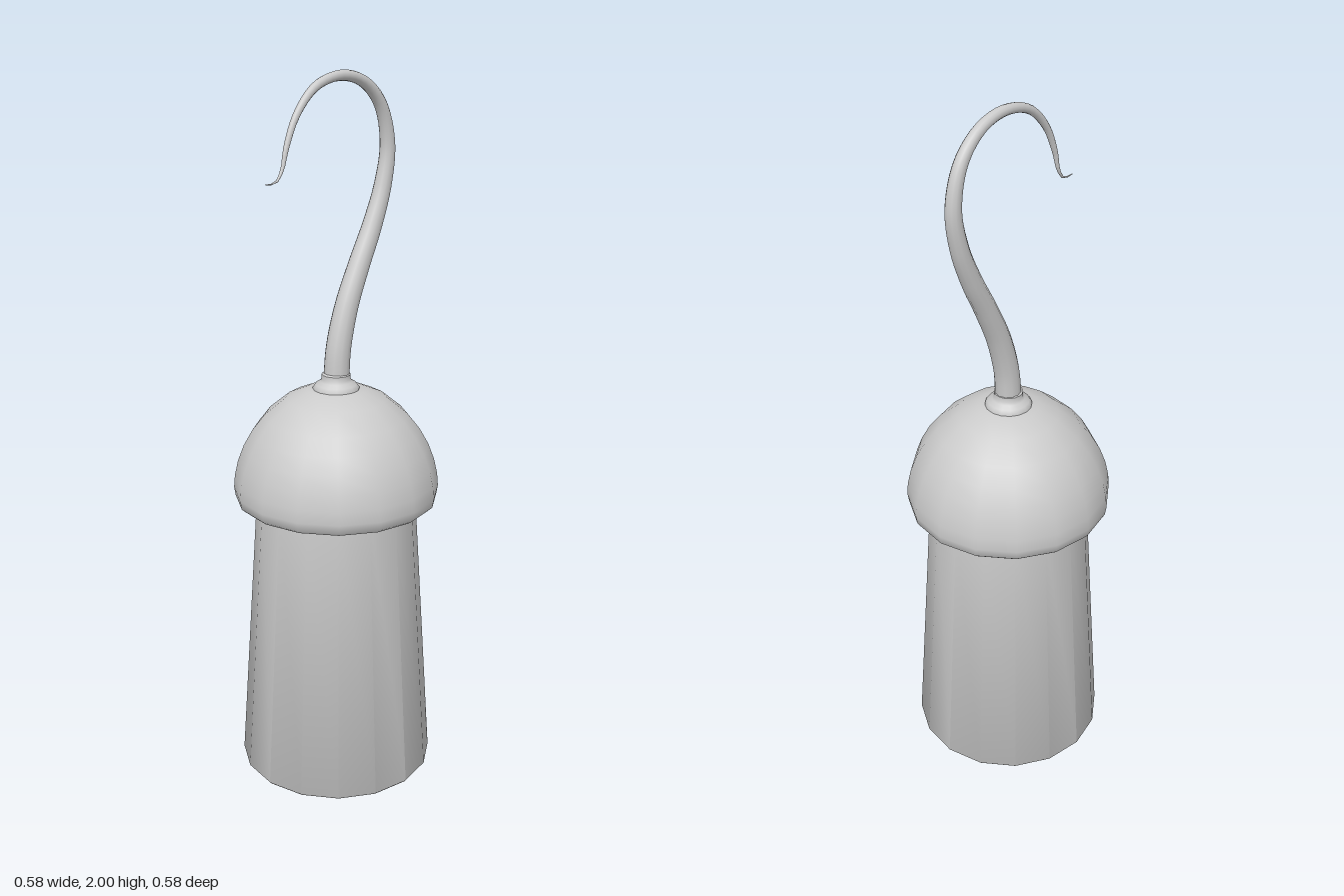
import * as THREE from 'three';
import { toCreasedNormals } from 'three/addons/utils/BufferGeometryUtils.js';

const material = new THREE.MeshStandardMaterial({ color: 0xcccccc });

// Sixteen-sided turned part from [radius, height] pairs
function turned(name, profile) {
  const points = profile.map(([r, y]) => new THREE.Vector2(r, y));
  const mesh = new THREE.Mesh(toCreasedNormals(new THREE.LatheGeometry(points, 16), 0.8), material);
  mesh.name = name;
  return mesh;
}

// Tube whose rings shrink along the path; radii are evenly spaced along its length
function taperedTube(path, radii, segments, sides) {
  const geometry = new THREE.TubeGeometry(path, segments, 1, sides);
  const pos = geometry.attributes.position;
  const v = new THREE.Vector3();
  for (let i = 0; i <= segments; i++) {
    const centre = path.getPointAt(i / segments);
    const t = (i / segments) * (radii.length - 1);
    const k = Math.min(Math.floor(t), radii.length - 2);
    const radius = THREE.MathUtils.lerp(radii[k], radii[k + 1], t - k);
    for (let j = 0; j <= sides; j++) {
      const n = i * (sides + 1) + j;
      v.fromBufferAttribute(pos, n).sub(centre).multiplyScalar(radius).add(centre);
      pos.setXYZ(n, v.x, v.y, v.z);
    }
  }
  return geometry;
}

export function createModel() {
  const group = new THREE.Group();
  group.name = 'hookHand';

  // Hollow cuff: inner ceiling, inner wall, rim, outer wall
  group.add(turned('cuff', [
    [0, 0.83], [0.2, 0.83], [0.25, 0.005], [0.255, 0], [0.275, 0], [0.28, 0.006], [0.225, 0.84],
  ]));

  // Domed cap with a rounded lower lip
  group.add(turned('cap', [
    [0.2, 0.822], [0.277, 0.822], [0.286, 0.83], [0.29, 0.855], [0.287, 0.89], [0.277, 0.935],
    [0.26, 0.98], [0.235, 1.025], [0.2, 1.07], [0.14, 1.12], [0.085, 1.144], [0, 1.155],
  ]));

  // Small stepped collar at the hook's base
  group.add(turned('collar', [
    [0.065, 1.135], [0.065, 1.15], [0.058, 1.16], [0.045, 1.168], [0.04, 1.175], [0.04, 1.188], [0.034, 1.192], [0, 1.192],
  ]));

  // Hook: S-curved shaft with a tapering, outturned tip, as [z, y]
  const path = new THREE.CatmullRomCurve3([
    [0, 1.16], [-0.009, 1.26], [-0.04, 1.37], [-0.088, 1.475], [-0.142, 1.58], [-0.184, 1.685],
    [-0.202, 1.795], [-0.173, 1.9], [-0.107, 1.963], [-0.018, 1.985], [0.077, 1.962],
    [0.145, 1.897], [0.182, 1.82], [0.198, 1.765], [0.22, 1.737], [0.257, 1.735],
  ].map(([z, y]) => new THREE.Vector3(0, y, z)));
  const radii = [0.037, 0.035, 0.032, 0.029, 0.025, 0.021, 0.017, 0.014, 0.011, 0.008, 0.001];
  const hook = new THREE.Mesh(taperedTube(path, radii, 64, 12), material);
  hook.name = 'hook';
  group.add(hook);

  return group;
}
